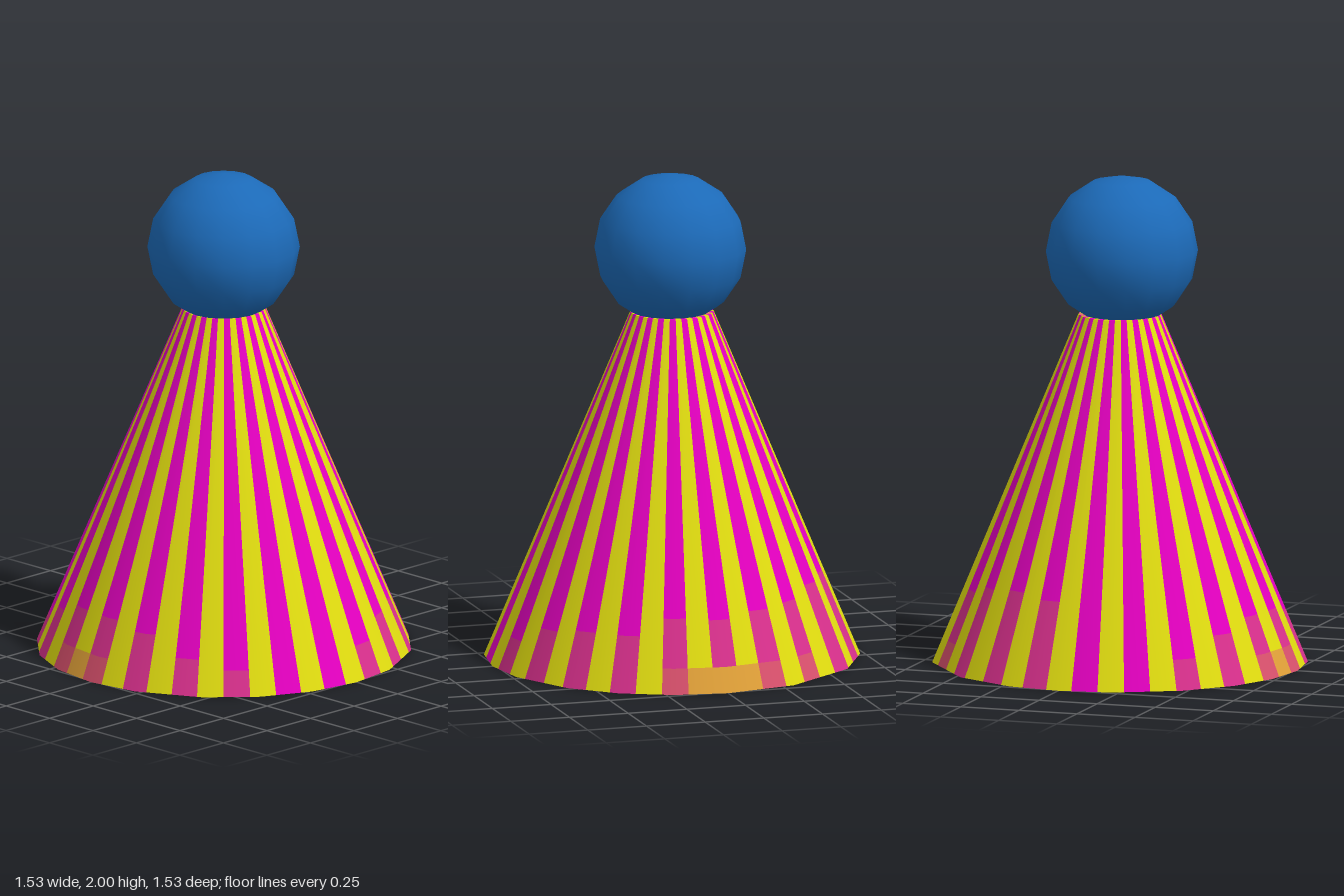
import * as THREE from 'three';

const paint = (name, color) => {
  const m = new THREE.MeshStandardMaterial({ color });
  m.name = name;
  return m;
};

const HALF = (Math.PI * 2) / 44; // angular width of one stripe
const HEIGHT = 1.43;
const OUT0 = 0.765, OUT1 = 0.17, IN0 = 0.685, IN1 = 0.12;

// Corner angles of the slightly uneven hem, in degrees from +x towards +z
const CORNERS = [0, 16.7, 33.7, 51, 73.2, 90, 106.8, 123.7, 141.3, 163.2, 180,
  196.7, 213.3, 231.3, 253.3, 270, 286.7, 308.7, 337, 360].map(THREE.MathUtils.degToRad);

// Height of the faded pink patch on each magenta stripe, from +x towards +z
const PINK = [0.28, 0.29, 0.22, 0.22, 0.2, 0.13, 0, 0, 0.1, 0.14, 0.22,
  0.25, 0.25, 0.2, 0.12, 0, 0, 0.34, 0.36, 0.35, 0.31, 0.3];

// Stripes whose lowest part is faded further
const ORANGE = new Set([43, 0, 1, 23]);
const ROSE = new Set([42, 40, 2, 22, 24]);

// Radius of the unit hem polygon at an angle
function hem(t) {
  t = THREE.MathUtils.euclideanModulo(t, Math.PI * 2);
  const i = Math.max(1, CORNERS.findIndex(c => c >= t - 1e-9));
  const mid = (CORNERS[i - 1] + CORNERS[i]) / 2;
  return Math.cos((CORNERS[i] - CORNERS[i - 1]) / 2) / Math.cos(t - mid);
}

// Collects quads that sweep one profile segment through a small angle
class Strip {
  pos = [];
  nor = [];
  add(t0, t1, [r0, y0], [r1, y1]) {
    const len = Math.hypot(r1 - r0, y1 - y0);
    const nr = (y1 - y0) / len, ny = (r0 - r1) / len;
    const corners = [[t1, r0, y0], [t0, r0, y0], [t0, r1, y1], [t1, r1, y1]];
    for (const k of [0, 1, 2, 0, 2, 3]) {
      const [t, r, y] = corners[k];
      const c = Math.cos(t), s = Math.sin(t), q = r * hem(t);
      this.pos.push(c * q, y, s * q);
      this.nor.push(c * nr, ny, s * nr);
    }
  }
  mesh(name, material) {
    const g = new THREE.BufferGeometry();
    g.setAttribute('position', new THREE.Float32BufferAttribute(this.pos, 3));
    g.setAttribute('normal', new THREE.Float32BufferAttribute(this.nor, 3));
    const m = new THREE.Mesh(g, material);
    m.name = name;
    return m;
  }
}

export function createModel() {
  const model = new THREE.Group();
  model.name = 'stripedCone';
  const blue = paint('blue', 0x1c6ab8);
  const mats = {
    magenta: paint('magenta', 0xe400c0),
    yellow: paint('yellow', 0xe0dc10),
    pink: paint('pink', 0xd8308c),
    rose: paint('rose', 0xd8506c),
    orange: paint('orange', 0xe0a038),
  };
  const strips = {};
  for (const k in mats) strips[k] = new Strip();

  const outer = y => [THREE.MathUtils.lerp(OUT0, OUT1, y / HEIGHT), y];

  // Angles where a stripe ends or the hem has a corner
  const cuts = [...CORNERS];
  for (let i = 0; i < 44; i++) cuts.push((i + 0.5) * HALF);
  cuts.sort((a, b) => a - b);

  for (let i = 1; i < cuts.length; i++) {
    const t0 = cuts[i - 1], t1 = cuts[i];
    if (t1 - t0 < 1e-5) continue;
    const index = Math.round((t0 + t1) / 2 / HALF) % 44;
    const base = index % 2 ? 'yellow' : 'magenta';

    // Outside: faded patches near the hem, plain stripe above
    let y = 0;
    const paintUpTo = (top, colour) => {
      if (top > y) strips[colour].add(t0, t1, outer(y), outer(top));
      y = Math.max(y, top);
    };
    if (ORANGE.has(index)) paintUpTo(0.1, 'orange');
    if (ROSE.has(index)) paintUpTo(0.1, 'rose');
    if (base === 'magenta') paintUpTo(PINK[index / 2], 'pink');
    paintUpTo(HEIGHT, base);

    // Top ring, inside wall and bottom rim
    strips[base].add(t0, t1, [OUT1, HEIGHT], [IN1, HEIGHT]);
    strips[base].add(t0, t1, [IN1, HEIGHT], [IN0, 0]);
    strips[base].add(t0, t1, [IN0, 0], [OUT0, 0]);
  }

  // Hollow cone, one mesh for each colour
  const cone = new THREE.Group();
  cone.name = 'cone';
  for (const k in mats) cone.add(strips[k].mesh(k + 'Stripes', mats[k]));
  model.add(cone);

  // Ball on top
  const ball = new THREE.Mesh(new THREE.SphereGeometry(0.31, 16, 8), blue);
  ball.name = 'ball';
  ball.position.set(-0.007, 1.69, 0.005);
  model.add(ball);
  return model;
}
